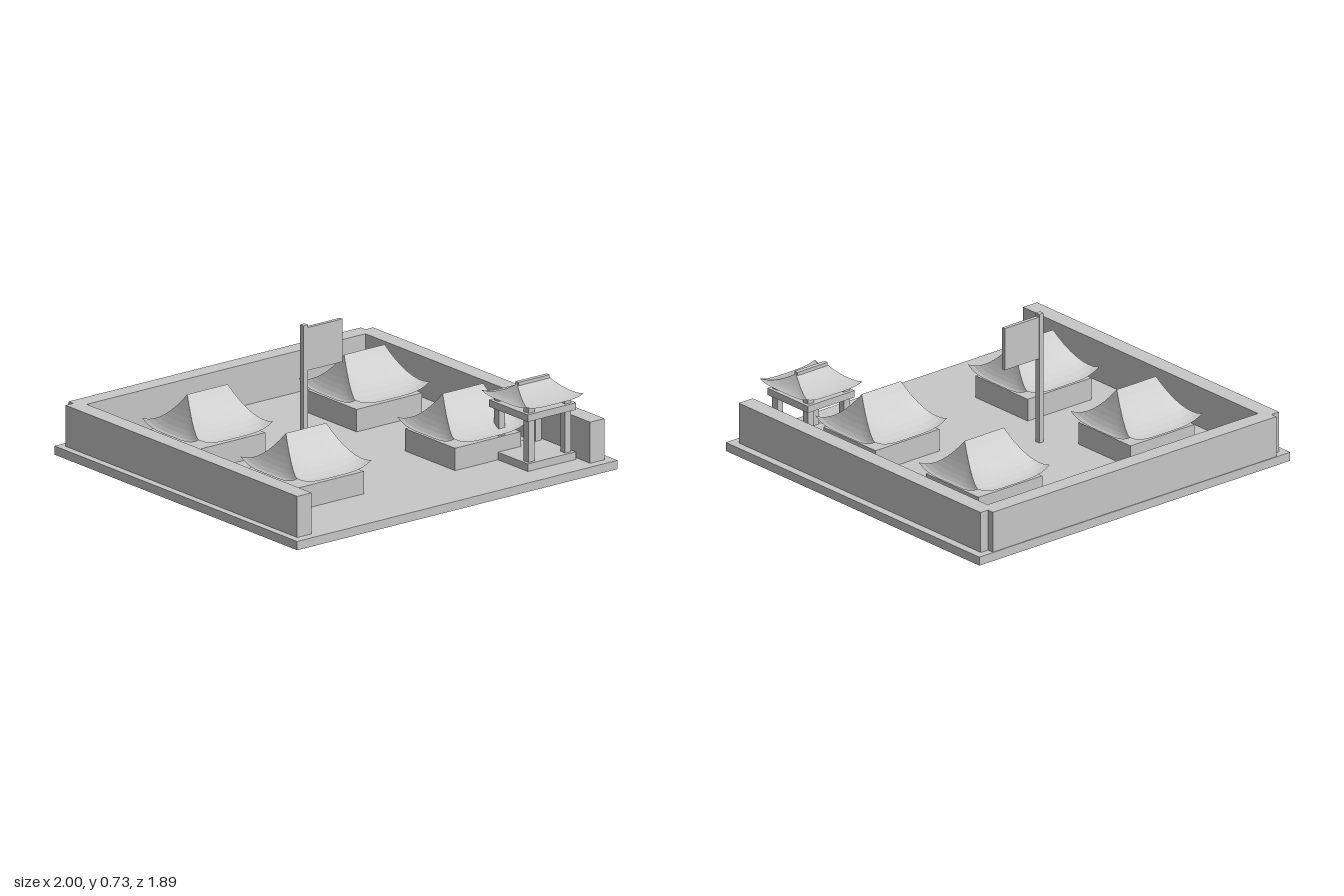
import * as THREE from 'three';

const stone = new THREE.MeshStandardMaterial({ color: 0xc8c8c8, flatShading: true, side: THREE.DoubleSide });
stone.name = 'grey stone';

// Box given by its extents on each axis
function block(name, [x0, x1], [y0, y1], [z0, z1]) {
  const mesh = new THREE.Mesh(new THREE.BoxGeometry(x1 - x0, y1 - y0, z1 - z0), stone);
  mesh.name = name;
  mesh.position.set((x0 + x1) / 2, (y0 + y1) / 2, (z0 + z1) / 2);
  return mesh;
}

// Hipped roof with sagging slopes and upturned corners: four bent planes
function sweptRoof(name, { halfX, halfZ, ridge, eave, top, lift, power }) {
  const roof = new THREE.Group();
  roof.name = name;
  for (let side = 0; side < 4; side++) {
    const alongX = side % 2 === 0;
    const geo = new THREE.PlaneGeometry(2, 1, 16, 8);
    const pos = geo.attributes.position;
    for (let i = 0; i < pos.count; i++) {
      const u = pos.getX(i);
      const t = 0.5 - pos.getY(i); // 0 at the ridge, 1 at the eave
      const wx = THREE.MathUtils.lerp(ridge, halfX, t);
      const wz = halfZ * t;
      const y = eave + (top - eave) * Math.pow(1 - t, power) + lift * t * t * Math.pow(u, 4);
      pos.setXYZ(i, u * (alongX ? wx : wz), y, alongX ? wz : wx);
    }
    geo.rotateY(side * Math.PI / 2);
    geo.computeVertexNormals();
    const slope = new THREE.Mesh(geo, stone);
    slope.name = 'roofSlope';
    roof.add(slope);
  }
  return roof;
}

function house(x, z) {
  const g = new THREE.Group();
  g.name = 'house';
  g.add(block('houseBody', [-0.205, 0.205], [0.045, 0.16], [-0.195, 0.195]));
  g.add(sweptRoof('houseRoof', {
    halfX: 0.232, halfZ: 0.222, ridge: 0.126, eave: 0.181, top: 0.374, lift: 0.038, power: 1.6,
  }));
  g.position.set(x, 0, z);
  return g;
}

function watchPavilion(x, z) {
  const g = new THREE.Group();
  g.name = 'pavilion';
  g.add(block('pavilionFloor', [-0.15, 0.15], [0.045, 0.084], [-0.15, 0.15]));
  for (const sx of [-1, 1]) for (const sz of [-1, 1]) {
    const post = block('post', [-0.019, 0.019], [0.084, 0.36], [-0.019, 0.019]);
    post.position.x = sx * 0.115;
    post.position.z = sz * 0.115;
    g.add(post);
  }
  g.add(block('pavilionBeam', [-0.151, 0.151], [0.3, 0.336], [-0.151, 0.151]));
  g.add(sweptRoof('pavilionRoof', {
    halfX: 0.178, halfZ: 0.178, ridge: 0.097, eave: 0.367, top: 0.445, lift: 0.018, power: 1.6,
  }));
  g.add(block('ridgeCap', [-0.097, 0.097], [0.438, 0.455], [-0.012, 0.012]));
  g.position.set(x, 0, z);
  return g;
}

export function createModel() {
  const model = new THREE.Group();
  model.name = 'walledCourtyard';

  // Ground slab and walls, open at the front
  model.add(block('ground', [-1, 1], [0, 0.045], [-0.945, 0.945]));
  model.add(block('rightWall', [-0.962, -0.872], [0.045, 0.256], [-0.905, 0.898]));
  model.add(block('leftWall', [0.867, 0.957], [0.045, 0.256], [-0.905, 0.898]));
  model.add(block('backWall', [-0.915, 0.91], [0.045, 0.256], [-0.941, -0.852]));

  // Four houses
  for (const x of [-0.491, 0.488]) for (const z of [-0.388, 0.379]) model.add(house(x, z));

  model.add(watchPavilion(0.701, 0.656));

  // Flag on its pole
  model.add(block('flagPole', [-0.177, -0.149], [0.045, 0.726], [-0.061, -0.033]));
  model.add(block('flag', [-0.16, 0.07], [0.49, 0.71], [-0.057, -0.037]));
  return model;
}
